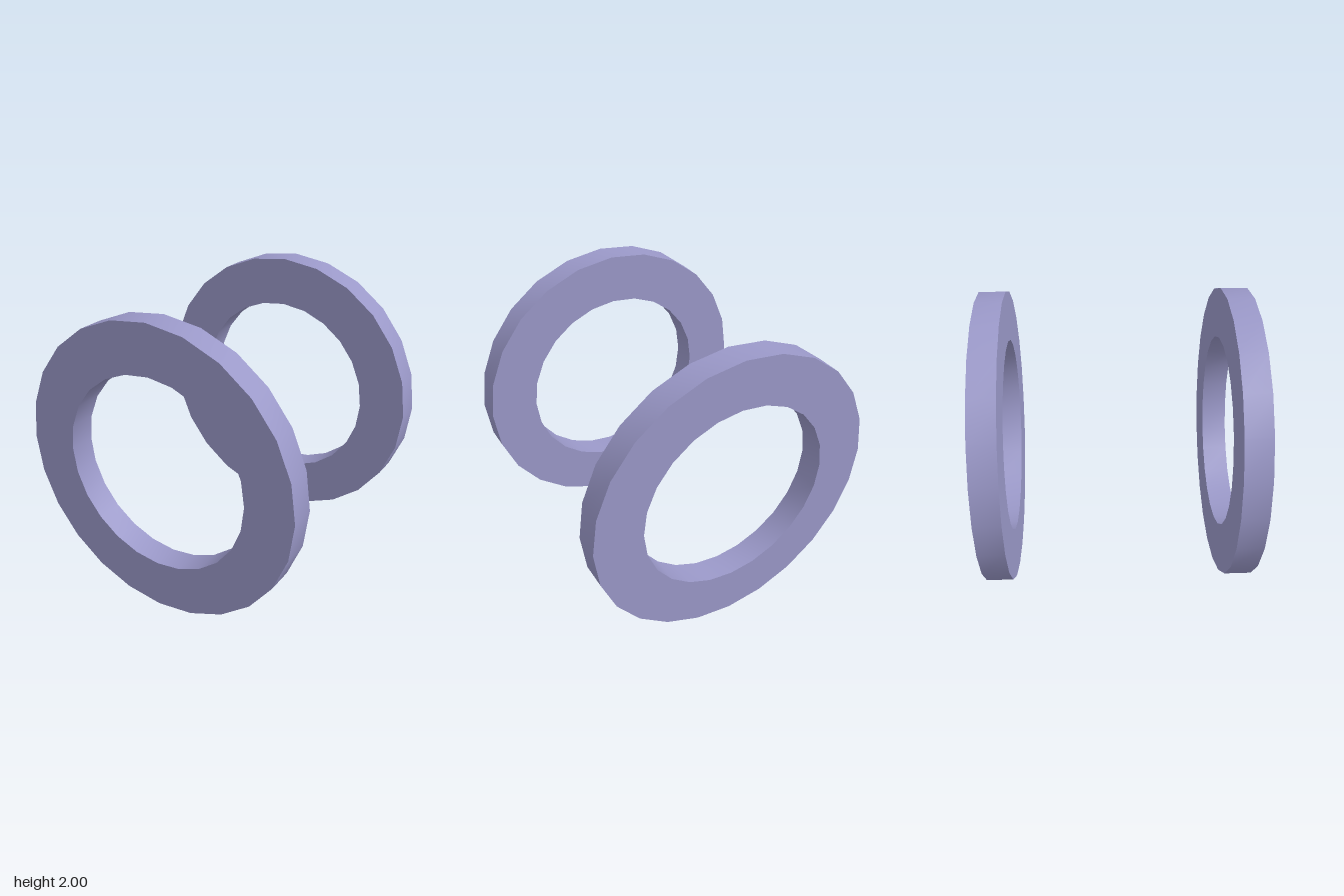
import * as THREE from 'three';
import { toCreasedNormals } from 'three/addons/utils/BufferGeometryUtils.js';

const OUTER = 1, INNER = 0.665, WIDTH = 0.178, OFFSET = 0.807, SIDES = 24;

// Flat ring of rectangular section, its axis along z
function ringGeometry() {
  const h = WIDTH / 2;
  const section = [[OUTER, -h], [OUTER, h], [INNER, h], [INNER, -h], [OUTER, -h]]
    .map(([r, y]) => new THREE.Vector2(r, y));
  const lathe = new THREE.LatheGeometry(section, SIDES).rotateX(Math.PI / 2);
  // Smooth around the rims, sharp at the edges
  return toCreasedNormals(lathe, 0.6);
}

export function createModel() {
  const model = new THREE.Group();
  model.name = 'ringPair';
  const material = new THREE.MeshStandardMaterial({ color: 0x9a98c8 });
  const geometry = ringGeometry();

  // Two matching rings, front and back
  for (const [name, side] of [['frontRing', 1], ['backRing', -1]]) {
    const ring = new THREE.Mesh(geometry, material);
    ring.name = name;
    ring.position.set(0, OUTER, side * OFFSET);
    model.add(ring);
  }
  return model;
}
